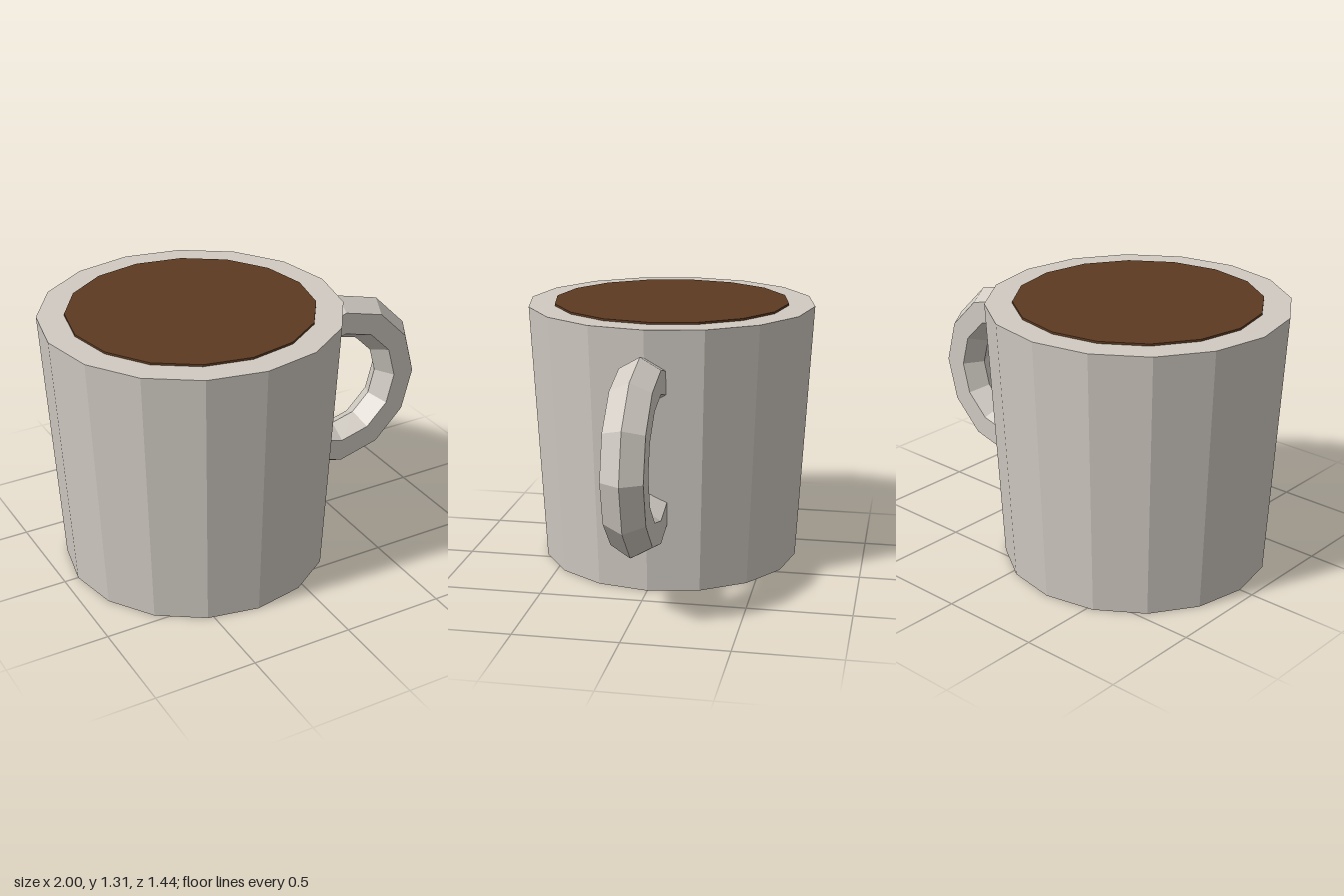
import * as THREE from 'three';

export function createModel() {
  const group = new THREE.Group();
  const sides = 16, bodyX = -0.28, height = 1.3;

  const flat = (name, color) => {
    const m = new THREE.MeshStandardMaterial({ color });
    m.name = name;
    m.flatShading = true;
    return m;
  };
  const ceramic = flat('ceramic', 0xd0cac2);
  const coffeeBrown = flat('coffee brown', 0x5c3a21);

  const add = (name, geometry, material, x, y) => {
    const mesh = new THREE.Mesh(geometry, material);
    mesh.name = name;
    mesh.position.set(x, y, 0);
    group.add(mesh);
    return mesh;
  };

  // Tapered faceted cup
  add('cupBody', new THREE.CylinderGeometry(0.72, 0.65, height, sides), ceramic, bodyX, height / 2);

  // Thin disc of coffee just above the rim
  add('coffee', new THREE.CylinderGeometry(0.59, 0.59, 0.02, sides), coffeeBrown, bodyX, height);

  // Hexagonal ring handle, its two ends buried in the cup wall
  const arc = Math.PI * 5 / 3;
  const handle = add('handle', new THREE.TorusGeometry(0.36, 0.113, 6, 10, arc), ceramic, 0.525, 0.72);
  handle.rotation.z = -arc / 2;

  return group;
}
